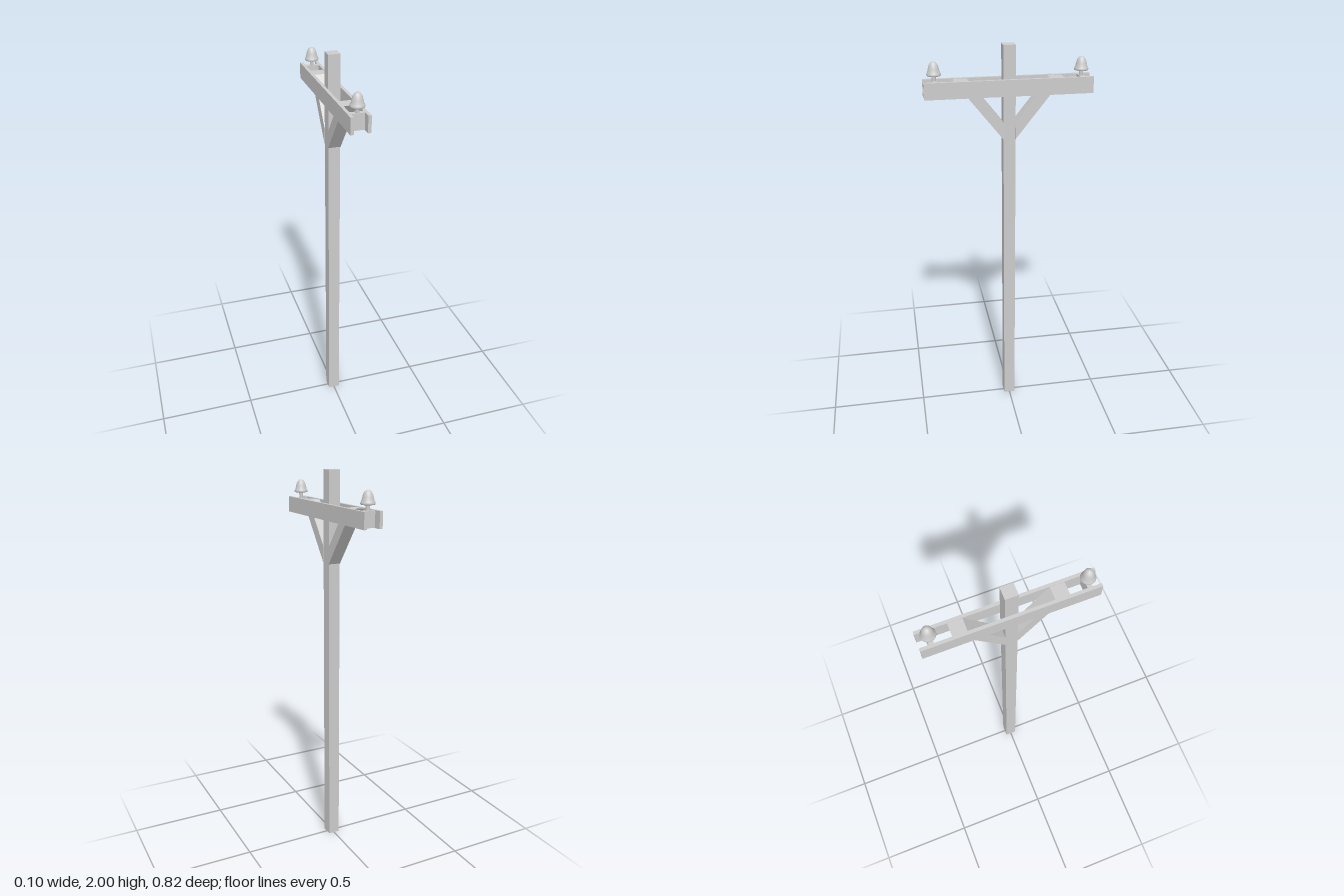
import * as THREE from 'three';

export function createModel() {
  const model = new THREE.Group();
  const wood = new THREE.MeshStandardMaterial({ color: 0xcccccc, flatShading: true });
  const ceramic = new THREE.MeshStandardMaterial({ color: 0xcccccc });

  function add(name, geometry, material, x = 0, y = 0, z = 0) {
    const mesh = new THREE.Mesh(geometry, material);
    mesh.name = name;
    mesh.position.set(x, y, z);
    model.add(mesh);
    return mesh;
  }

  // Square pole
  add('pole', new THREE.BoxGeometry(0.06, 2, 0.06), wood, 0, 1, 0);

  // Pair of planks clamping the pole
  for (const side of [-1, 1]) {
    add(side > 0 ? 'leftCrossarm' : 'rightCrossarm',
      new THREE.BoxGeometry(0.016, 0.08, 0.82), wood, side * 0.04, 1.8, 0);
  }

  // Diagonal brace, cut upright at the pole and level at the top
  const braceShape = new THREE.Shape([
    [0.028, 1.54], [0.265, 1.838], [0.197, 1.838], [0.028, 1.625],
  ].map(([z, y]) => new THREE.Vector2(z, y)));
  const braceGeometry = new THREE.ExtrudeGeometry(braceShape, { depth: 0.064, bevelEnabled: false });
  braceGeometry.translate(0, 0, -0.032);

  // Bell-shaped insulator with a hollow underside around its pin
  const bellProfile = [
    [0.01, 1.873], [0.026, 1.866], [0.033, 1.865], [0.035, 1.87], [0.033, 1.877],
    [0.029, 1.884], [0.026, 1.898], [0.022, 1.912], [0.016, 1.923], [0.008, 1.929], [0, 1.93],
  ].map(([r, y]) => new THREE.Vector2(r, y));
  const bellGeometry = new THREE.LatheGeometry(bellProfile, 24);

  for (const end of [-1, 1]) {
    const label = end > 0 ? 'front' : 'back';
    const brace = add(label + 'Brace', braceGeometry, wood);
    brace.rotation.y = -end * Math.PI / 2;

    // Spacer between the planks, carrying the insulator
    const z = end * 0.357;
    add(label + 'Spacer', new THREE.BoxGeometry(0.064, 0.078, 0.024), wood, 0, 1.8, z);
    add(label + 'InsulatorPin', new THREE.CylinderGeometry(0.01, 0.01, 0.05, 12), ceramic, 0, 1.855, z);
    add(label + 'Insulator', bellGeometry, ceramic, 0, 0, z);
  }
  return model;
}
